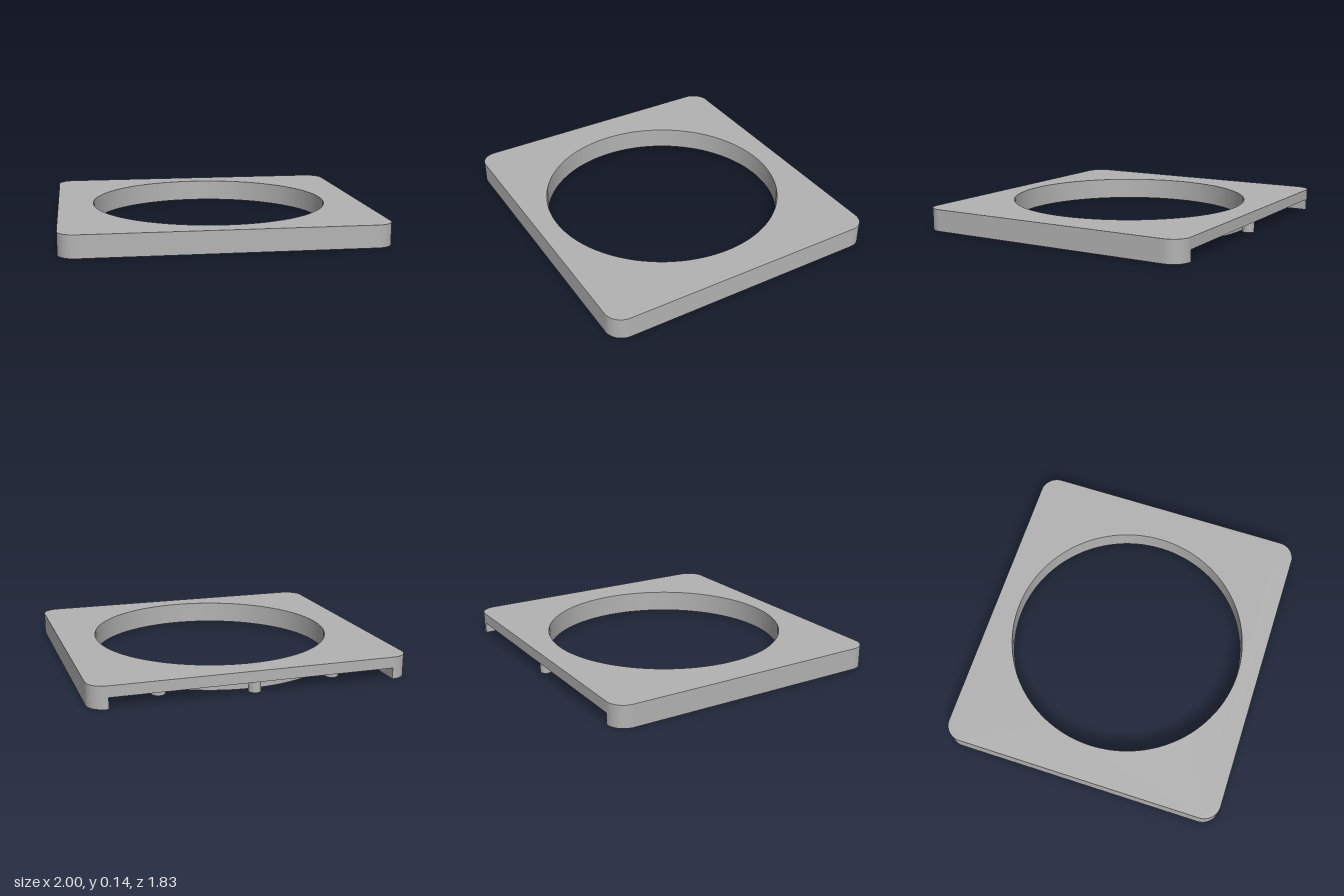
import * as THREE from 'three';
import { toCreasedNormals } from 'three/addons/utils/BufferGeometryUtils.js';

const W = 1, D = 0.915, H = 0.14;      // half width, half depth, height
const CORNER = 0.11;
const HOLE_R = 0.77, LIP_R = 0.825, HOLE_Z = 0.01;
const POCKET_X = 0.886, POCKET_Z = -0.305, POCKET_Y = 0.07;

// Rounded outline drawn in plan (shape y is -z); the pocket opens to the back.
function plan(withPocket) {
  const s = new THREE.Shape();
  const cx = W - CORNER, cy = D - CORNER, q = Math.PI / 2;
  s.moveTo(-cx, -D);
  s.absarc(cx, -cy, CORNER, -q, 0, false);
  s.absarc(cx, cy, CORNER, 0, q, false);
  if (withPocket) {
    const a = Math.asin((-POCKET_Z + HOLE_Z) / LIP_R);
    s.lineTo(POCKET_X, D);
    s.lineTo(POCKET_X, -POCKET_Z);
    s.absarc(0, -HOLE_Z, LIP_R, a, Math.PI - a, false);
    s.lineTo(-POCKET_X, -POCKET_Z);
    s.lineTo(-POCKET_X, D);
  }
  s.absarc(-cx, cy, CORNER, q, 2 * q, false);
  s.absarc(-cx, -cy, CORNER, 2 * q, 3 * q, false);
  const hole = new THREE.Path();
  hole.absarc(0, -HOLE_Z, HOLE_R, 0, Math.PI * 2, true);
  s.holes.push(hole);
  return s;
}

function slab(shape, y, height) {
  const g = new THREE.ExtrudeGeometry(shape, { depth: height, bevelEnabled: false, curveSegments: 64 });
  g.rotateX(-Math.PI / 2);
  g.translate(0, y, 0);
  return toCreasedNormals(g, 0.6);
}

export function createModel() {
  const group = new THREE.Group();
  group.name = 'frame';
  const grey = new THREE.MeshStandardMaterial({ color: 0xb3b3b3 });
  grey.name = 'grey';

  const add = (name, geometry) => {
    const mesh = new THREE.Mesh(geometry, grey);
    mesh.name = name;
    group.add(mesh);
    return mesh;
  };

  // Full top plate, and the lower rim with the pocket cut out of it
  add('topPlate', slab(plan(false), POCKET_Y, H - POCKET_Y));
  add('lowerRim', slab(plan(true), 0, POCKET_Y));

  // Pins hanging from the pocket ceiling: x, z, radius
  const pins = [[0, -0.865, 0.038]];
  for (const side of [-1, 1]) {
    pins.push([side * 0.785, -0.507, 0.042], [side * 0.555, -0.738, 0.042]);
  }
  for (const [x, z, r] of pins) {
    add('pin', new THREE.CylinderGeometry(r, r, POCKET_Y, 32)).position.set(x, POCKET_Y / 2, z);
  }
  return group;
}
